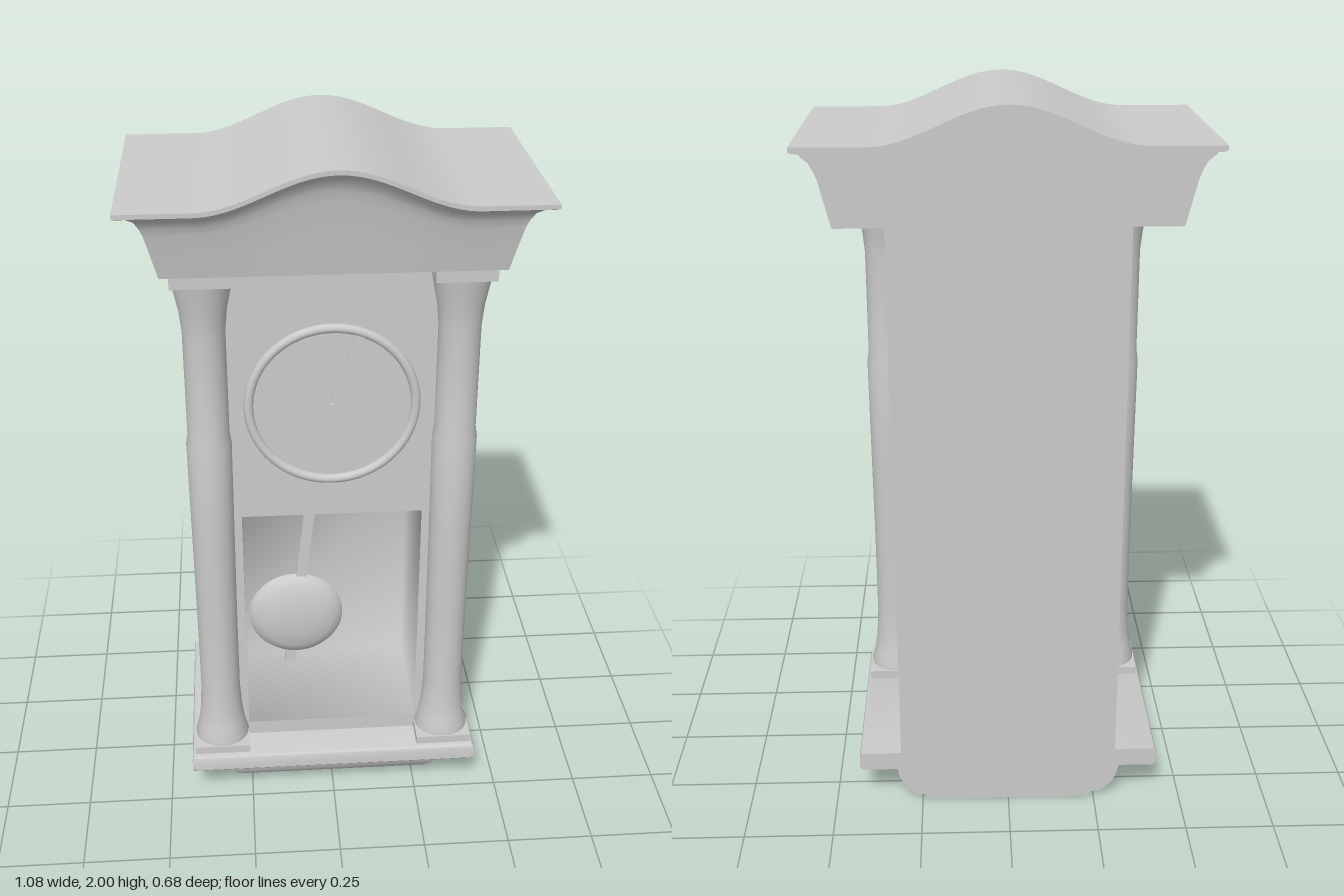
import * as THREE from 'three';
import { mergeVertices, toCreasedNormals } from 'three/addons/utils/BufferGeometryUtils.js';

const BACK = -0.34, FRONT = 0.15, HALF = 0.31;
const material = new THREE.MeshStandardMaterial({ color: 0xcccccc });

function part(parent, name, geometry, x = 0, y = 0, z = 0) {
  const mesh = new THREE.Mesh(geometry, material);
  mesh.name = name;
  mesh.position.set(x, y, z);
  parent.add(mesh);
  return mesh;
}

// Height of the wavy pediment above its shoulders
const wave = x => Math.abs(x) < 0.35 ? 0.1 * Math.cos(Math.PI * x / 0.7) ** 2 : 0;

// Flat-backed moulding: rows are [halfWidth, frontZ, y, waveAmount], bottom to top
function moulding(rows, n = 1) {
  const pos = [], index = [], ring = 2 * (n + 1);
  for (const [w, front, y, k = 0] of rows) {
    for (let j = 0; j < ring; j++) {
      const isFront = j <= n;
      const x = -w + 2 * w * (isFront ? j : ring - 1 - j) / n;
      const h = k * wave(x);
      pos.push(x, y + h, isFront ? front + 0.12 * h : BACK);
    }
  }
  const quad = (a, b, c, d) => index.push(a, b, c, a, c, d);
  for (let r = 0; r < rows.length - 1; r++) {
    for (let j = 0; j < ring; j++) {
      const a = r * ring + j, b = r * ring + (j + 1) % ring;
      quad(a, b, b + ring, a + ring);
    }
  }
  const top = (rows.length - 1) * ring;
  for (let i = 0; i < n; i++) {
    const back = ring - 1 - i;
    quad(top + i, top + i + 1, top + back - 1, top + back);
    quad(i, back, back - 1, i + 1);
  }
  const g = new THREE.BufferGeometry();
  g.setAttribute('position', new THREE.Float32BufferAttribute(pos, 3));
  g.setIndex(index);
  return toCreasedNormals(g, 0.6);
}

// Box with some of its faces (0..5 = +x -x +y -y +z -z) left out
function openBox(w, h, d, dropped) {
  const g = new THREE.BoxGeometry(w, h, d);
  const all = Array.from(g.index.array);
  g.setIndex(all.filter((_, i) => !dropped.includes(Math.floor(i / 6))));
  g.clearGroups();
  return g;
}

function lathe(points, segments = 40) {
  const curve = points.map(p => new THREE.Vector2(...p));
  return toCreasedNormals(new THREE.LatheGeometry(curve, segments), 0.6);
}

function makeCase() {
  const group = new THREE.Group();
  group.name = 'case';
  const y0 = 0.15, y1 = 1.72;
  part(group, 'caseShell', openBox(2 * HALF, y1 - y0, FRONT - BACK, [4]), 0, (y0 + y1) / 2, (FRONT + BACK) / 2);

  // Front panel with the pendulum opening
  const rect = (P, w, a, b) => new P([[-w, a], [w, a], [w, b], [-w, b]].map(p => new THREE.Vector2(...p)));
  const panel = rect(THREE.Shape, HALF, y0, y1);
  const low = 0.205, high = 0.945, w = 0.255, deep = -0.2;
  panel.holes.push(rect(THREE.Path, w, low, high));
  part(group, 'frontPanel', new THREE.ShapeGeometry(panel), 0, 0, FRONT);

  // Inward-facing niche with softly shaded corners
  let niche = openBox(2 * w, high - low, FRONT - deep, [5]);
  niche.scale(1, 1, -1);
  niche.deleteAttribute('normal');
  niche.deleteAttribute('uv');
  niche = mergeVertices(niche);
  niche.computeVertexNormals();
  part(group, 'pendulumNiche', niche, 0, (low + high) / 2, (FRONT + deep) / 2);
  return group;
}

function makeColumn(side) {
  const group = new THREE.Group();
  group.name = side > 0 ? 'leftColumn' : 'rightColumn';
  group.position.set(side * 0.337, 0, 0.153);
  part(group, 'columnPlinth', new THREE.BoxGeometry(0.165, 0.03, 0.165), 0, 0.17, 0);
  part(group, 'columnCapital', new THREE.BoxGeometry(0.16, 0.035, 0.16), 0, 1.685, 0);
  part(group, 'columnShaft', lathe([
    [0.08, 0.18], [0.08, 0.195], [0.07, 0.23], [0.063, 0.28], [0.058, 0.36], [0.058, 0.57],
    [0.06, 0.9], [0.062, 1.19], [0.057, 1.22], [0.057, 1.52], [0.063, 1.58], [0.075, 1.64], [0.08, 1.67],
  ], 32));
  return group;
}

function makeDial() {
  const group = new THREE.Group();
  group.name = 'dial';
  group.position.set(0, 1.29, FRONT);
  part(group, 'dialRim', new THREE.TorusGeometry(0.227, 0.013, 12, 64), 0, 0, 0.003);
  const hand = part(group, 'clockHand', new THREE.BoxGeometry(0.024, 0.275, 0.006), 0.026, 0.075, 0.012);
  hand.rotation.z = -0.34;
  const hub = part(group, 'handHub', new THREE.CylinderGeometry(0.012, 0.012, 0.024, 20), 0, 0, 0.012);
  hub.rotation.x = Math.PI / 2;
  return group;
}

function makePendulum() {
  const group = new THREE.Group();
  group.name = 'pendulum';
  group.position.set(-0.1, 0.51, 0.01);
  group.rotation.z = -0.12;
  part(group, 'pendulumRod', new THREE.BoxGeometry(0.032, 0.62, 0.014), 0, 0.125, 0);
  const bob = part(group, 'pendulumBob', lathe([
    [0, -0.042], [0.06, -0.038], [0.105, -0.029], [0.132, -0.016], [0.142, 0],
    [0.132, 0.016], [0.105, 0.029], [0.06, 0.038], [0, 0.042],
  ], 48));
  bob.rotation.x = Math.PI / 2;
  return group;
}

export function createModel() {
  const model = new THREE.Group();
  model.name = 'wallClock';

  // Bowl-shaped foot and base shelf
  part(model, 'foot', moulding([
    [0.235, 0.14, 0], [0.24, 0.145, 0.015], [0.265, 0.165, 0.018], [0.287, 0.187, 0.032],
    [0.305, 0.203, 0.053], [0.317, 0.213, 0.08], [0.322, 0.218, 0.108],
  ]));
  part(model, 'baseShelf', moulding([
    [0.422, 0.248, 0.105], [0.43, 0.256, 0.113], [0.43, 0.256, 0.148], [0.427, 0.253, 0.156], [0.42, 0.246, 0.16],
  ]));

  model.add(makeCase(), makeDial(), makePendulum());
  for (const side of [1, -1]) model.add(makeColumn(side));

  // Flared cornice under the wavy roof
  part(model, 'cornice', moulding([
    [0.44, 0.238, 1.70, 0], [0.455, 0.25, 1.76, 0.4], [0.47, 0.262, 1.82, 0.8],
    [0.478, 0.268, 1.84, 0.9], [0.49, 0.28, 1.862, 1], [0.508, 0.3, 1.877, 1], [0.515, 0.306, 1.885, 1],
  ], 48));
  part(model, 'roof', moulding([
    [0.528, 0.322, 1.884, 1], [0.538, 0.332, 1.888, 1], [0.538, 0.332, 1.9, 1],
  ], 48));
  return model;
}
